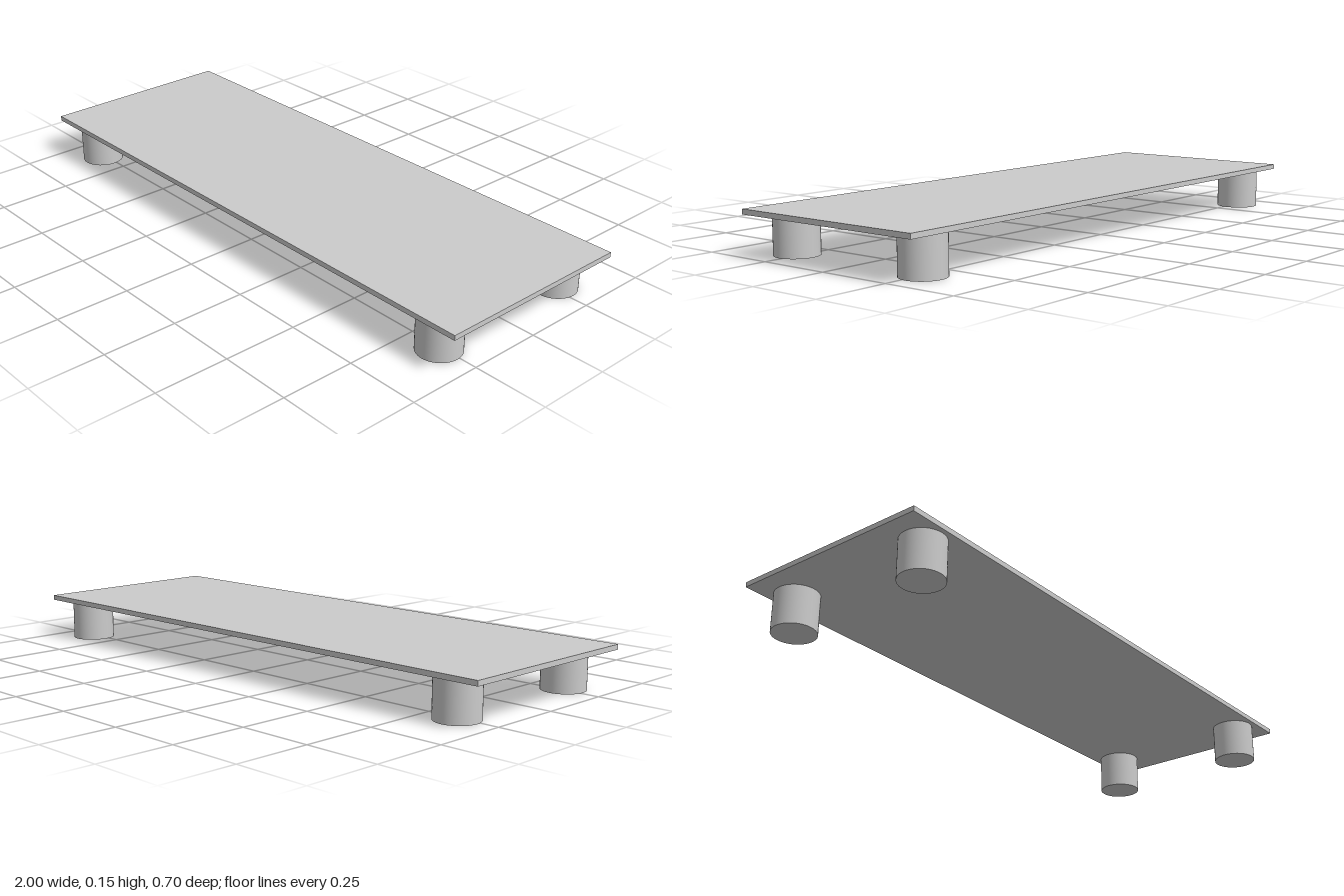
import * as THREE from 'three';

const HEIGHT = 0.149, THICKNESS = 0.017, DEPTH = 0.696;
const LEG_RADIUS = 0.0725, LEG_X = 0.866;

export function createModel() {
  const model = new THREE.Group();
  model.name = 'lowTable';
  const material = new THREE.MeshStandardMaterial({ color: 0xcccccc });

  // Thin rectangular top
  const top = new THREE.Mesh(new THREE.BoxGeometry(2, THICKNESS, DEPTH), material);
  top.name = 'tableTop';
  top.position.y = HEIGHT - THICKNESS / 2;
  model.add(top);

  // Four short round legs, one near each corner
  const legHeight = HEIGHT - THICKNESS;
  const legGeometry = new THREE.CylinderGeometry(LEG_RADIUS, LEG_RADIUS, legHeight, 48);
  for (const [end, z] of [['front', 0.26], ['back', -0.265]]) {
    for (const [side, x] of [['Left', LEG_X], ['Right', -LEG_X]]) {
      const leg = new THREE.Mesh(legGeometry, material);
      leg.name = `${end}${side}Leg`;
      leg.position.set(x, legHeight / 2, z);
      model.add(leg);
    }
  }
  return model;
}
